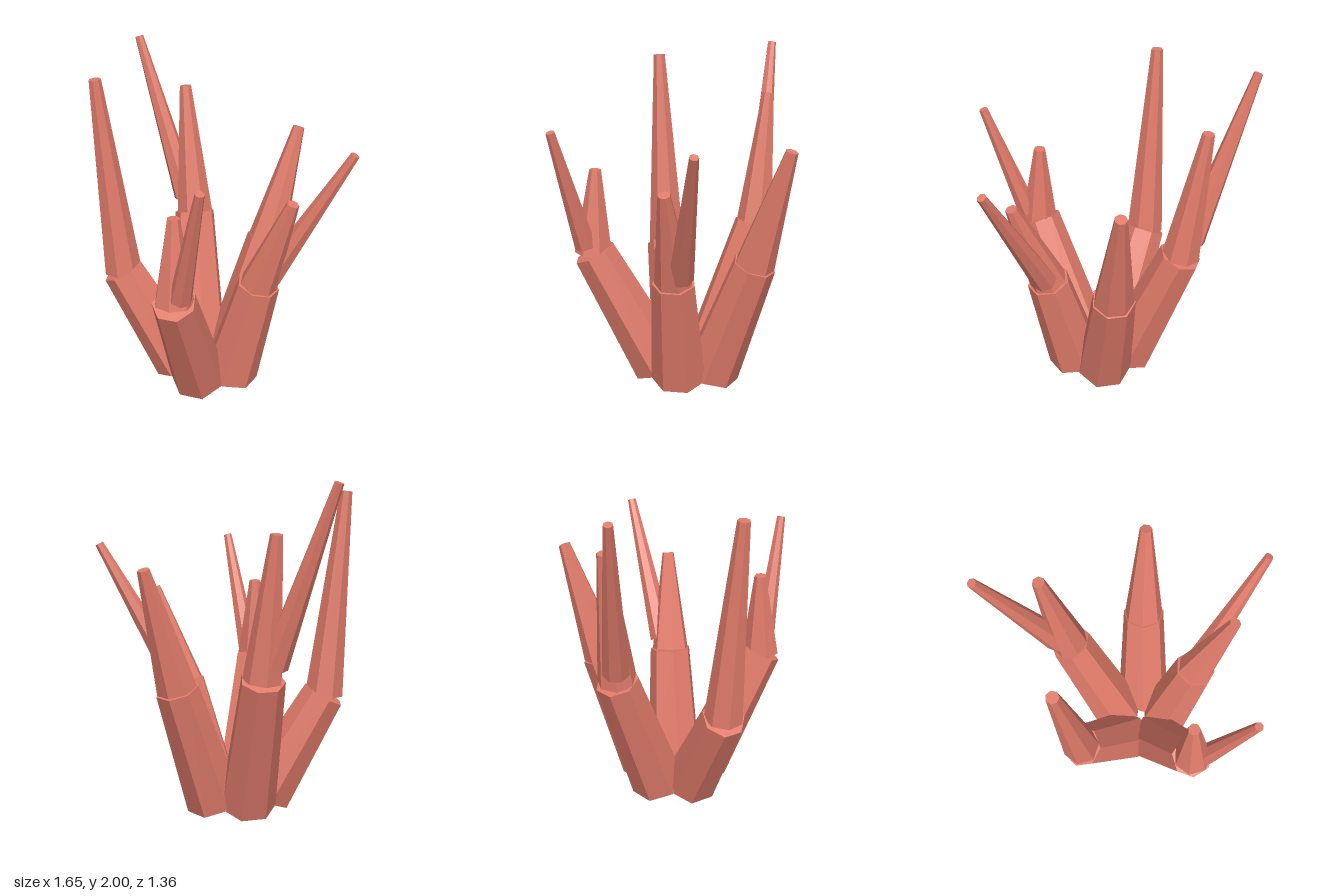
import * as THREE from 'three';

const material = new THREE.MeshStandardMaterial({ color: 0xe07b6a, flatShading: true });

// Tapered seven-sided stalk between two points, a flat side facing the way it leans
function stalk(name, from, to, r0, r1) {
  const a = new THREE.Vector3(...from);
  const b = new THREE.Vector3(...to);
  const d = b.clone().sub(a);
  const length = d.length();
  const geometry = new THREE.CylinderGeometry(r1, r0, length, 7);
  geometry.translate(0, length / 2, 0);
  geometry.rotateY(Math.PI);
  geometry.rotateX(Math.acos(d.y / length));
  geometry.rotateY(Math.atan2(d.x, d.z));
  const mesh = new THREE.Mesh(geometry, material);
  mesh.position.copy(a);
  mesh.name = name;
  return mesh;
}

// Five branches around the centre: elbow, tip, and an optional side twig
const branches = [
  { name: 'frontBranch', elbow: [0.18, 0.82, 0.535], tip: [0.17, 1.33, 0.515], r: 0.115,
    twig: [[0.25, 0.88, 0.56], [0.465, 1.6, 0.655]], twigRadius: 0.065 },
  { name: 'rightFrontBranch', elbow: [-0.45, 0.71, 0.28], tip: [-0.535, 1.92, 0.35], r: 0.115 },
  { name: 'rightBackBranch', elbow: [-0.37, 0.91, -0.325], tip: [-0.475, 1.72, -0.37], r: 0.115,
    twig: [[-0.44, 1.0, -0.325], [-0.8, 1.99, -0.315]], twigRadius: 0.08 },
  { name: 'backBranch', elbow: [0.125, 0.82, -0.44], tip: [0.19, 1.52, -0.65], r: 0.12 },
  { name: 'leftBranch', elbow: [0.355, 0.75, -0.025], tip: [0.565, 1.325, -0.04], r: 0.115,
    twig: [[0.4, 0.8, -0.08], [0.8, 1.6, -0.275]], twigRadius: 0.075 },
];

export function createModel() {
  const model = new THREE.Group();
  model.name = 'coral';
  branches.forEach((branch, i) => {
    const group = new THREE.Group();
    group.name = branch.name;
    // Bases sit evenly on a small ring
    const angle = ((1 - i) * -72 * Math.PI) / 180 + (144 * Math.PI) / 180;
    const base = [0.178 * Math.cos(angle), 0.077, 0.178 * Math.sin(angle)];
    group.add(stalk('lowerStalk', base, branch.elbow, 0.17, 0.128));
    group.add(stalk('upperStalk', branch.elbow, branch.tip, branch.r, 0.036));
    if (branch.twig) group.add(stalk('sideTwig', ...branch.twig, branch.twigRadius, 0.026));
    model.add(group);
  });
  return model;
}
